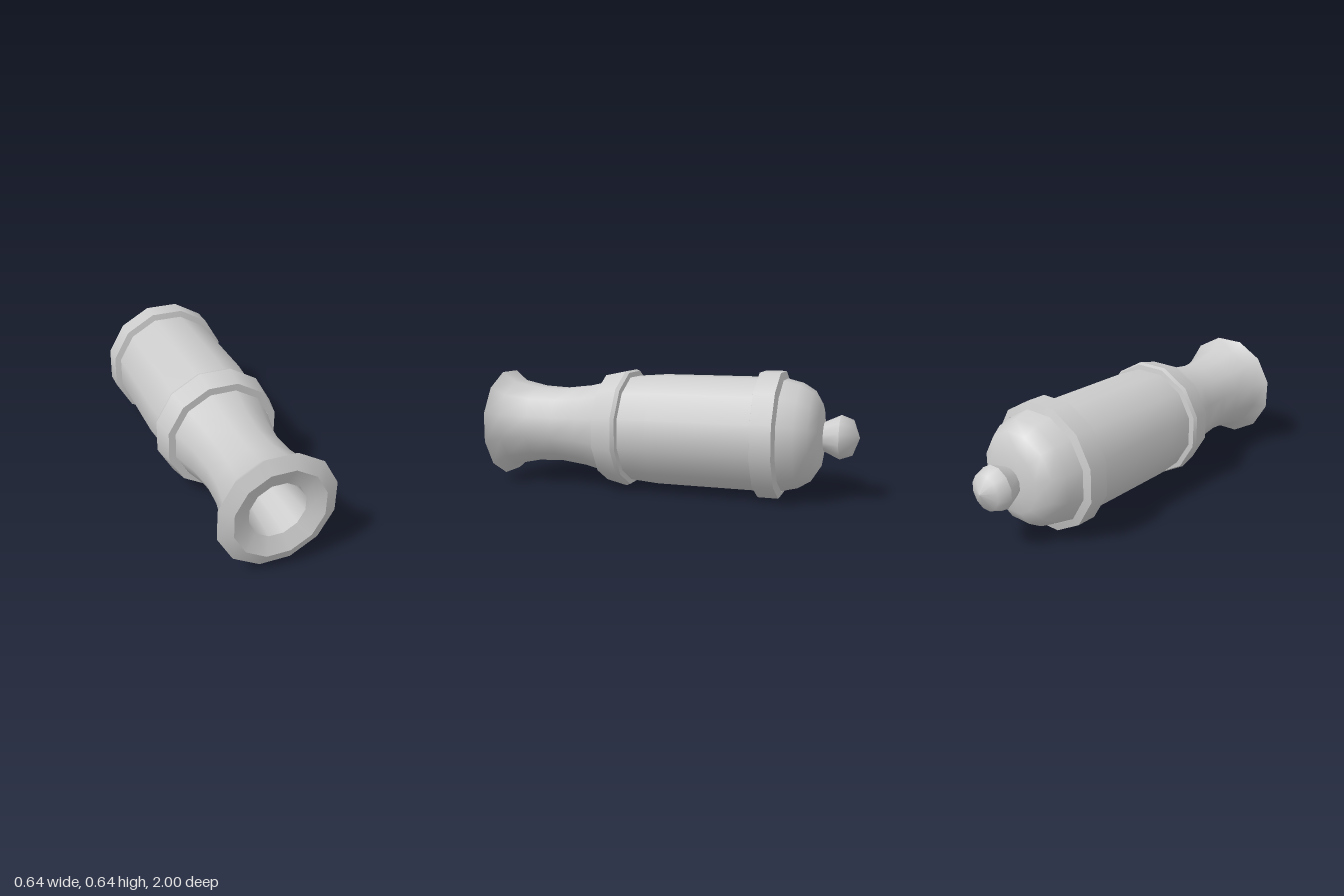
import * as THREE from 'three';

const SIDES = 12;
const AXIS_Y = 0.32;
const APOTHEM = Math.cos(Math.PI / SIDES); // half-widths are measured across the flats

// One turned section; profile entries are [half-width, z], running from back to front.
function turned(name, profile, material) {
  const points = profile.map(([r, z]) => new THREE.Vector2(r / APOTHEM, z));
  const geometry = new THREE.LatheGeometry(points, SIDES, Math.PI / SIDES);
  geometry.rotateX(Math.PI / 2);
  const mesh = new THREE.Mesh(geometry, material);
  mesh.name = name;
  return mesh;
}

// Hard-edged ring: every profile segment becomes its own section.
function ring(name, profile, material) {
  const group = new THREE.Group();
  group.name = name;
  for (let i = 0; i < profile.length - 1; i++) {
    group.add(turned(name + 'Face' + (i + 1), [profile[i], profile[i + 1]], material));
  }
  return group;
}

export function createModel() {
  const metal = new THREE.MeshStandardMaterial({ color: 0xcccccc, side: THREE.DoubleSide });
  const barrel = new THREE.Group();
  barrel.name = 'cannonBarrel';
  barrel.position.y = AXIS_Y;

  // Rear knob and its tapering neck
  barrel.add(turned('knob', [[0, -1], [0.087, -0.967], [0.109, -0.905]], metal));
  barrel.add(turned('knobNeck', [[0.109, -0.905], [0.068, -0.815]], metal));

  // Rounded breech
  barrel.add(turned('breechDome', [
    [0, -0.826], [0.07, -0.825], [0.16, -0.81], [0.224, -0.77], [0.262, -0.705], [0.285, -0.61],
  ], metal));

  // Breech ring
  barrel.add(ring('breechRing', [
    [0.283, -0.625], [0.32, -0.612], [0.32, -0.505], [0.287, -0.497],
  ], metal));

  // Main body
  barrel.add(turned('body', [[0.288, -0.5], [0.288, 0.04], [0.276, 0.2]], metal));

  // Flared middle band
  barrel.add(ring('middleBand', [
    [0.274, 0.195], [0.302, 0.2], [0.31, 0.22], [0.286, 0.335], [0.25, 0.335],
  ], metal));

  // Waisted chase swelling into the muzzle
  barrel.add(turned('chase', [
    [0.25, 0.33], [0.217, 0.47], [0.2, 0.62], [0.207, 0.76], [0.235, 0.9], [0.288, 0.968],
  ], metal));

  // Muzzle lip, shallow funnel and bore
  barrel.add(turned('muzzleLip', [[0.288, 0.968], [0.222, 1]], metal));
  barrel.add(turned('muzzleFunnel', [[0.222, 1], [0.138, 0.965]], metal));
  barrel.add(turned('bore', [[0.138, 0.965], [0.09, 0.35]], metal));
  barrel.add(turned('boreFloor', [[0.09, 0.35], [0, 0.35]], metal));

  const model = new THREE.Group();
  model.name = 'cannon';
  model.add(barrel);
  return model;
}
